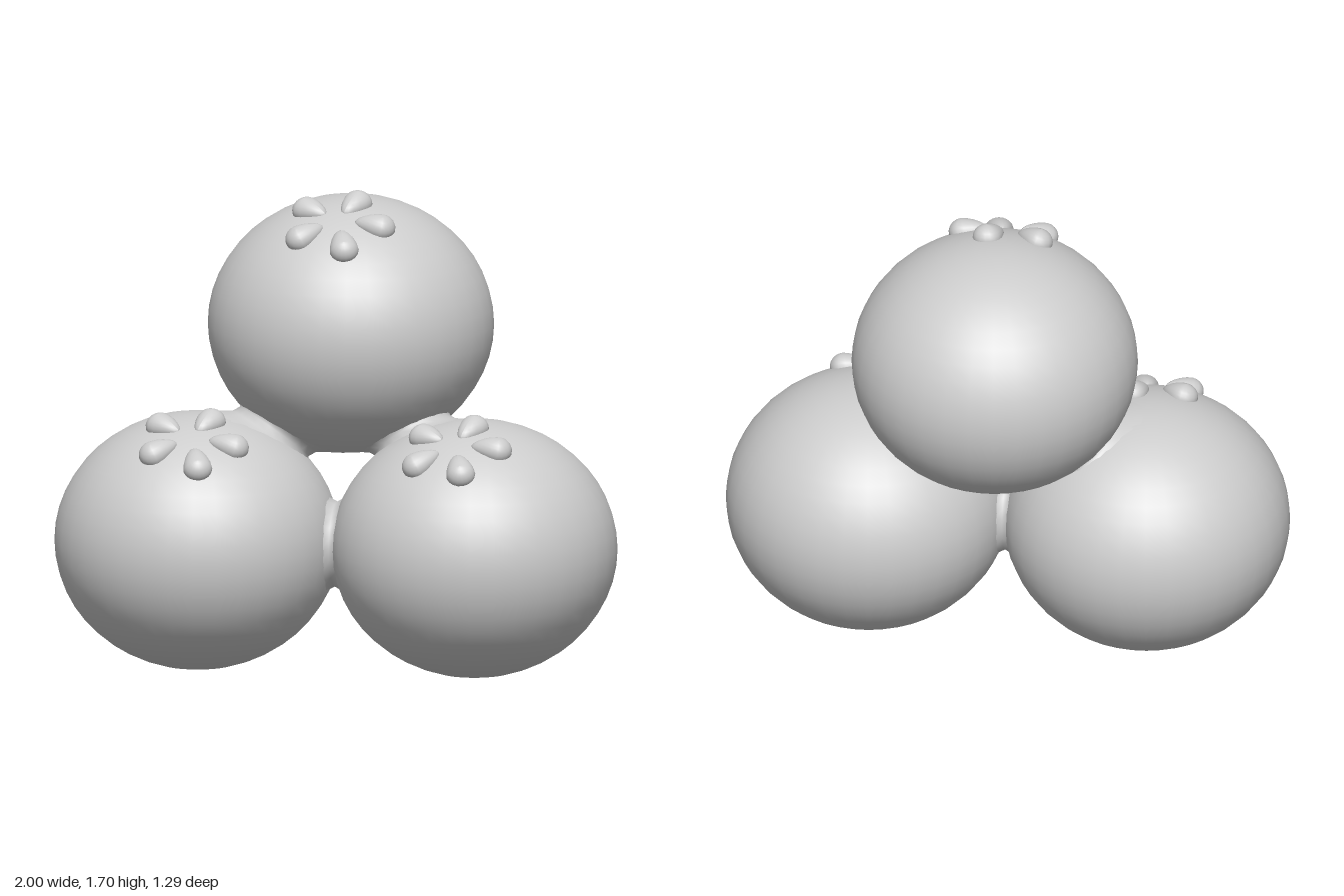
import * as THREE from 'three';

const R = new THREE.Vector3(0.505, 0.457, 0.508);

export function createModel() {
  const group = new THREE.Group();
  const clay = new THREE.MeshStandardMaterial({ color: 0xcccccc });
  clay.name = 'plain grey';
  const add = (parent, geometry, name) => {
    const mesh = new THREE.Mesh(geometry, clay);
    mesh.name = name;
    parent.add(mesh);
    return mesh;
  };

  // Point on the upper half of a berry, relative to its centre
  const onBerry = (x, z) => new THREE.Vector3(
    x, R.y * Math.sqrt(1 - (x / R.x) ** 2 - (z / R.z) ** 2), z);

  // Egg-shaped petal: round tip, long tapering inner end (local +x is outward)
  const petalGeo = new THREE.SphereGeometry(1, 18, 12);
  const p = petalGeo.attributes.position;
  for (let i = 0; i < p.count; i++) {
    const x = p.getX(i);
    const taper = x < 0 ? 1 + 0.3 * x : 1;
    p.setXYZ(i, x * (x < 0 ? 0.095 : 0.052),
      p.getY(i) * 0.046 * taper - (x < 0 ? 0.012 * x * x : 0),
      p.getZ(i) * 0.052 * taper);
  }
  petalGeo.computeVertexNormals();

  // Five-petalled crown; positions are x, z offsets from the berry centre
  const petals = [[-0.13, 0.14], [0.045, 0.1], [0.155, 0.225], [0.05, 0.355], [-0.12, 0.305]];
  const berryGeo = new THREE.SphereGeometry(1, 36, 24).scale(R.x, R.y, R.z);
  const berries = [
    ['rightBerry', new THREE.Vector3(-0.495, 0.465, 0.137), 0.025],
    ['leftBerry', new THREE.Vector3(0.495, 0.465, 0.1), -0.025],
    ['topBerry', new THREE.Vector3(0, 1.213, -0.137), 0],
  ];
  for (const [name, centre, shift] of berries) {
    const berry = new THREE.Group();
    berry.name = name;
    berry.position.copy(centre);
    group.add(berry);
    add(berry, berryGeo, name + 'Body');
    const middle = onBerry(shift, 0.225);
    for (const [x, z] of petals) {
      const at = onBerry(x + shift, z);
      const up = at.clone().divide(R).divide(R).normalize();
      const out = at.clone().sub(middle);
      out.addScaledVector(up, -out.dot(up)).normalize();
      const side = out.clone().cross(up);
      const petal = add(berry, petalGeo, 'crownPetal');
      petal.quaternion.setFromRotationMatrix(new THREE.Matrix4().makeBasis(out, up, side));
      petal.position.copy(at);
    }
  }

  // Concave necks that join each pair of touching berries
  const half = [[0, 0.15], [0.025, 0.163], [0.05, 0.198], [0.08, 0.245], [0.12, 0.29]];
  const profile = [
    ...half.slice(1).reverse().map(([t, r]) => new THREE.Vector2(r, -t)),
    ...half.map(([t, r]) => new THREE.Vector2(r, t)),
  ];
  const neckGeo = new THREE.LatheGeometry(profile, 24);
  for (const [a, b] of [[0, 1], [0, 2], [1, 2]]) {
    const from = berries[a][1], to = berries[b][1];
    const neck = add(group, neckGeo, 'joiningNeck');
    neck.position.copy(from).lerp(to, 0.5);
    neck.quaternion.setFromUnitVectors(
      new THREE.Vector3(0, 1, 0), to.clone().sub(from).normalize());
  }
  return group;
}
